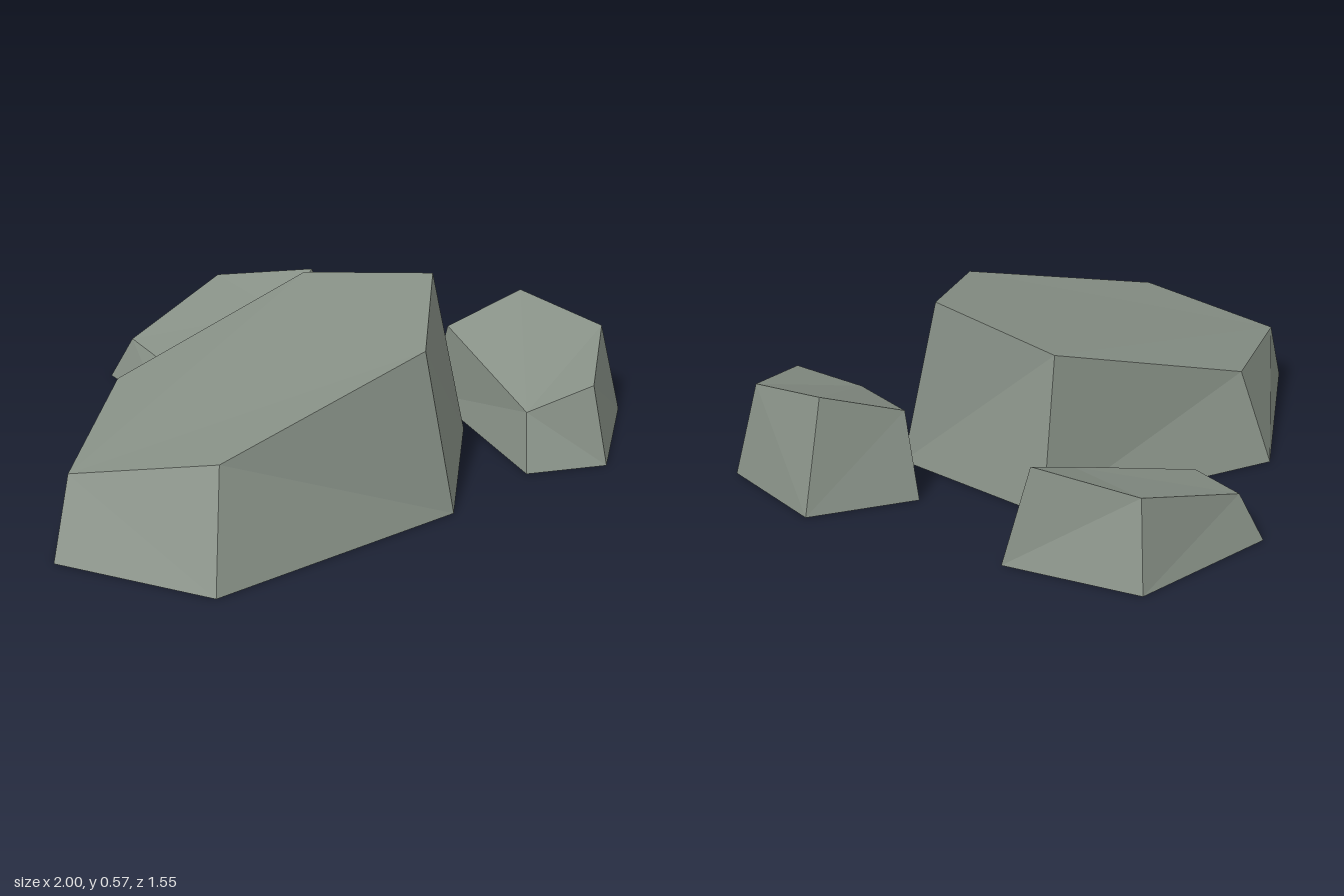
import * as THREE from 'three';

// Each rock: matching rings [x, z] on the ground and [x, y, z] on top,
// counter-clockwise from above; the top is fanned from its first corner.
const ROCKS = {
  largeRock: {
    base: [[-1, 0.41], [-0.65, 0.775], [0.17, 0.675], [0.46, 0.24], [0.14, -0.245], [-0.68, -0.175]],
    top: [[-0.915, 0.235, 0.33], [-0.57, 0.335, 0.63], [0.12, 0.505, 0.56],
      [0.34, 0.57, 0.21], [0.06, 0.49, -0.13], [-0.615, 0.29, -0.06]],
  },
  sideRock: {
    base: [[0.49, 0.575], [0.745, 0.64], [0.995, 0.345], [0.845, -0.01], [0.48, -0.025]],
    top: [[0.53, 0.17, 0.495], [0.73, 0.25, 0.56], [0.91, 0.32, 0.33], [0.76, 0.37, 0.07], [0.495, 0.285, 0.055]],
  },
  backRock: {
    base: [[0.12, -0.315], [0.355, -0.48], [0.02, -0.78], [-0.445, -0.615], [-0.38, -0.3]],
    top: [[0.09, 0.235, -0.38], [0.26, 0.32, -0.48], [-0.01, 0.27, -0.68], [-0.38, 0.15, -0.565], [-0.33, 0.13, -0.35]],
  },
};

function rockGeometry({ base, top }) {
  const low = base.map(([x, z]) => new THREE.Vector3(x, 0, z));
  const high = top.map((p) => new THREE.Vector3(...p));
  const n = low.length;
  const points = [];

  // Sides: split each quad along its shorter diagonal
  for (let i = 0; i < n; i++) {
    const j = (i + 1) % n;
    const [a, b, c, d] = [low[i], low[j], high[j], high[i]];
    if (a.distanceTo(c) < b.distanceTo(d)) points.push(a, b, c, a, c, d);
    else points.push(a, b, d, b, c, d);
  }

  // Sloping top and flat underside
  for (let i = 1; i < n - 1; i++) {
    points.push(high[0], high[i], high[i + 1]);
    points.push(low[0], low[i + 1], low[i]);
  }

  const geometry = new THREE.BufferGeometry().setFromPoints(points);
  geometry.computeVertexNormals(); // unshared corners give flat facets
  return geometry;
}

export function createModel() {
  const group = new THREE.Group();
  group.name = 'rocks';
  const stone = new THREE.MeshStandardMaterial({ color: 0x868f85 });
  stone.name = 'grey green stone';

  for (const [name, rings] of Object.entries(ROCKS)) {
    const mesh = new THREE.Mesh(rockGeometry(rings), stone);
    mesh.name = name;
    group.add(mesh);
  }
  return group;
}
